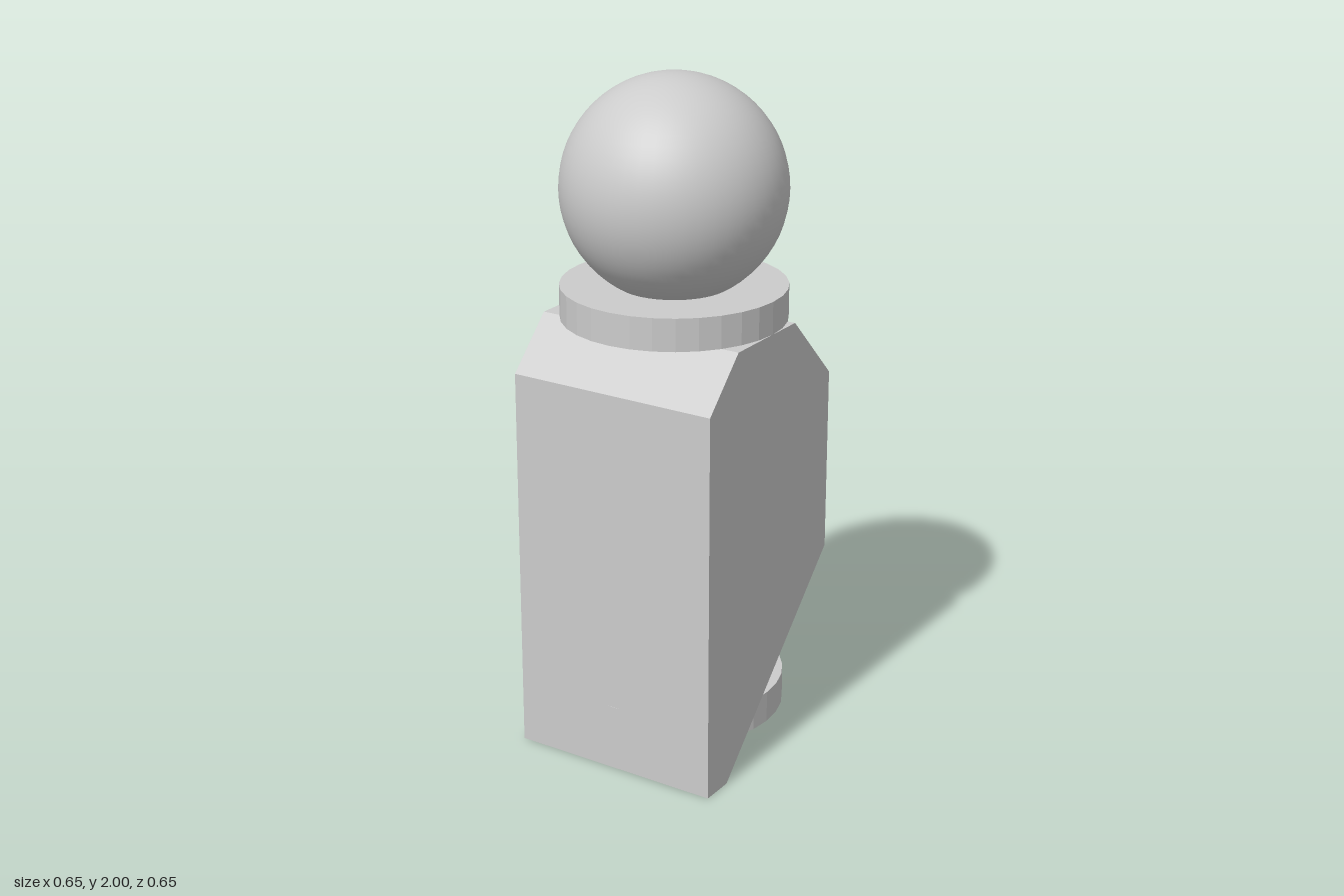
import * as THREE from 'three';

export function createModel() {
  const group = new THREE.Group();
  const smooth = new THREE.MeshStandardMaterial({ color: 0xcccccc });
  const flat = new THREE.MeshStandardMaterial({ color: 0xcccccc, flatShading: true });
  const R = 0.325;

  const add = (name, geometry, material, y = 0) => {
    const mesh = new THREE.Mesh(geometry, material);
    mesh.name = name;
    mesh.position.y = y;
    group.add(mesh);
  };

  // Body: chamfered side profile (z, y) extruded across the width
  const profile = [
    [0.323, 0], [0.323, 1.16], [0.18, 1.305], [-0.122, 1.305],
    [-R, 1.1], [-R, 0.55], [0.222, 0],
  ].map(([z, y]) => new THREE.Vector2(z, y));
  const body = new THREE.ExtrudeGeometry(new THREE.Shape(profile), { depth: 2 * R, bevelEnabled: false });
  body.translate(0, 0, -R).rotateY(-Math.PI / 2);
  add('body', body, flat);

  // Collar under the head and matching base disc
  add('collar', new THREE.CylinderGeometry(R, R, 0.095, 32), flat, 1.3525);
  add('baseDisc', new THREE.CylinderGeometry(R, R, 0.095, 32), flat, 0.151);

  // Head
  add('head', new THREE.SphereGeometry(0.322, 48, 32), smooth, 1.678);

  return group;
}
